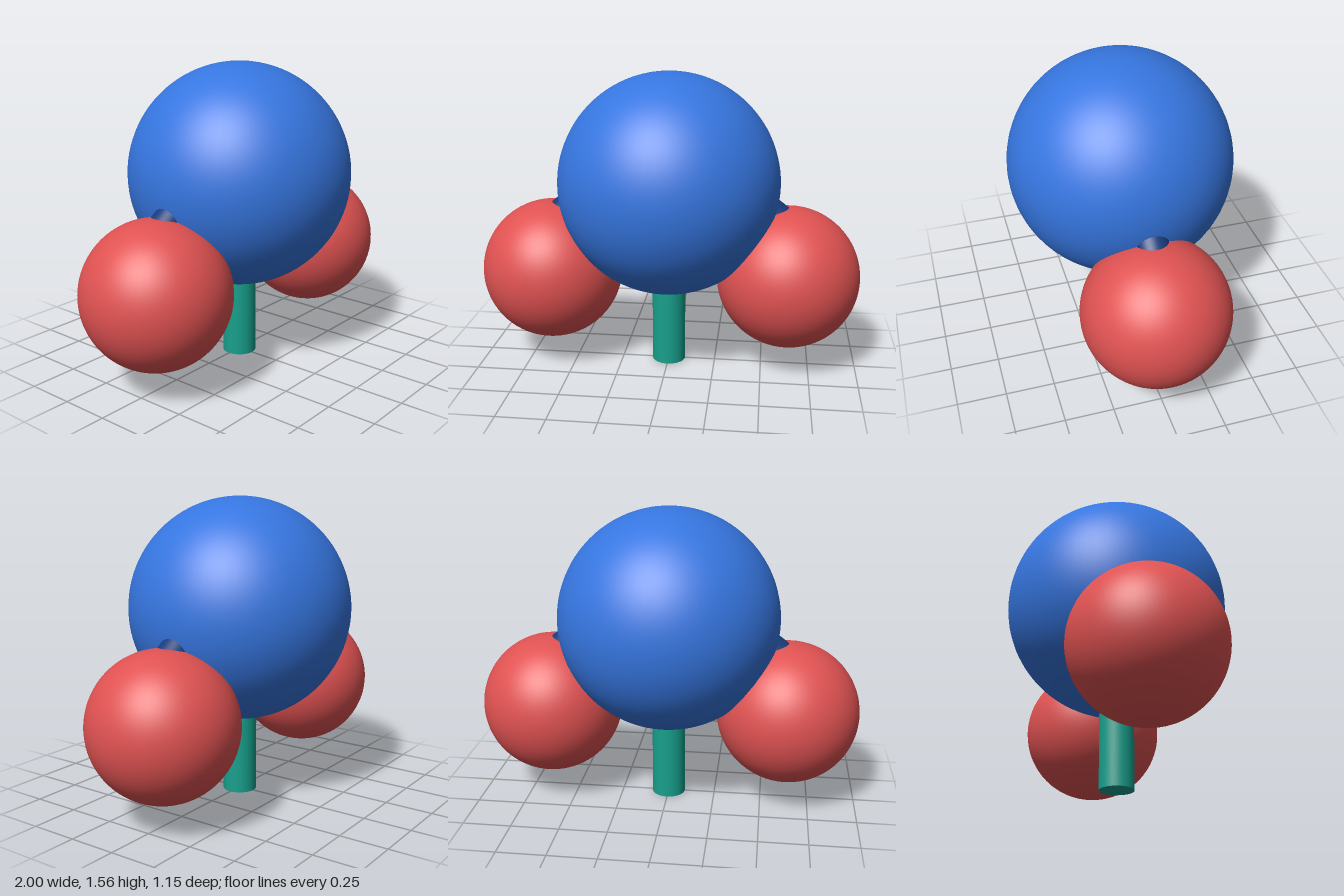
import * as THREE from 'three';

const BIG = { r: 0.575, y: 0.982 };
const SMALL = { r: 0.372, x: 0.628, y: 0.498 };

export function createModel() {
  const model = new THREE.Group();
  model.name = 'ballModel';

  const add = (name, geometry, color, x, y) => {
    const mesh = new THREE.Mesh(geometry, new THREE.MeshStandardMaterial({ color }));
    mesh.name = name;
    mesh.position.set(x, y, 0);
    model.add(mesh);
    return mesh;
  };

  // Large central ball
  add('centralBall', new THREE.SphereGeometry(BIG.r, 64, 48), 0x3676e0, 0, BIG.y);

  // Upright stand, its top buried in the central ball
  add('stand', new THREE.CylinderGeometry(0.088, 0.088, 0.6, 48), 0x17a08c, 0, 0.3);

  // Mirrored side balls, each with a connecting rod above the joint
  for (const [side, s] of [['left', 1], ['right', -1]]) {
    add(side + 'Ball', new THREE.SphereGeometry(SMALL.r, 64, 48), 0xe05252, s * SMALL.x, SMALL.y);

    // The rod runs parallel to the line between centres, shifted up and outward
    const dir = new THREE.Vector3(s * SMALL.x, SMALL.y - BIG.y, 0).normalize();
    const along = 0.475, offset = 0.204;
    const rod = add(side + 'Rod', new THREE.CylinderGeometry(0.086, 0.086, 0.35, 40), 0x183c7c,
      dir.x * along - s * dir.y * offset,
      BIG.y + dir.y * along + s * dir.x * offset);
    rod.quaternion.setFromUnitVectors(new THREE.Vector3(0, 1, 0), dir);
  }

  return model;
}
